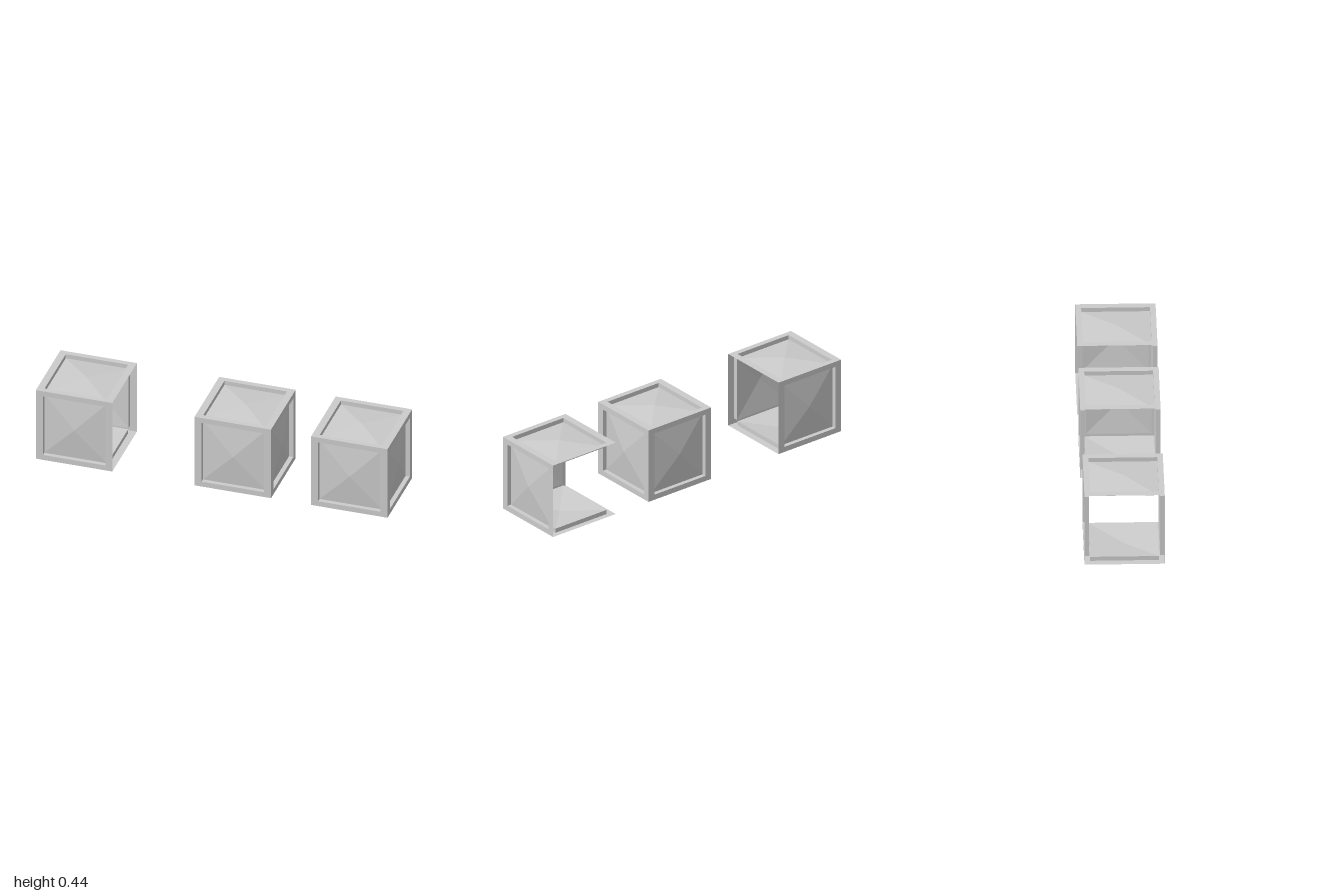
import * as THREE from 'three';

const SIZE = 0.435;
const HALF = SIZE / 2;
const RECESS = 0.025; // panel depth behind its frame
const RISE = 0.022;   // height of the panel's shallow point

// One sheet facing +z: flat frame, recess walls and a shallow pyramid panel,
// built from square rings that step inwards to the middle.
function createFaceGeometry() {
  const px = HALF - 0.04, py = HALF - 0.031;
  const rings = [
    [HALF, HALF, 0],
    [px, py, 0],
    [px, py, -RECESS],
    [0, 0, RISE - RECESS],
  ];
  const corner = ([w, h, z], i) => {
    const [sx, sy] = [[-1, -1], [1, -1], [1, 1], [-1, 1]][i % 4];
    return [sx * w, sy * h, z];
  };
  const points = [];
  for (let r = 0; r < rings.length - 1; r++) {
    const last = r === rings.length - 2;
    for (let i = 0; i < 4; i++) {
      const a = corner(rings[r], i), b = corner(rings[r], i + 1);
      const c = corner(rings[r + 1], i + 1), d = corner(rings[r + 1], i);
      points.push(...a, ...b, ...c);
      if (!last) points.push(...a, ...c, ...d);
    }
  }
  const geometry = new THREE.BufferGeometry();
  geometry.setAttribute('position', new THREE.Float32BufferAttribute(points, 3));
  geometry.computeVertexNormals();
  return geometry;
}

// Turn that points a +z sheet towards each side of the cube
const TURNS = {
  front: [0, 0],
  back: [0, Math.PI],
  left: [0, Math.PI / 2],
  right: [0, -Math.PI / 2],
  top: [-Math.PI / 2, 0],
  bottom: [Math.PI / 2, 0],
};

export function createModel() {
  const group = new THREE.Group();
  group.name = 'corridorBlocks';
  const geometry = createFaceGeometry();
  const material = new THREE.MeshStandardMaterial({
    color: 0xcccccc, flatShading: true, side: THREE.DoubleSide,
  });

  // Three open blocks: a through passage, a dead end and a corner
  const blocks = [
    { name: 'passageBlock', x: -1 + HALF, sides: ['front', 'back', 'top', 'bottom'] },
    { name: 'endBlock', x: 0.12, sides: ['front', 'back', 'left', 'top', 'bottom'] },
    { name: 'cornerBlock', x: 1 - HALF, sides: ['front', 'left', 'top', 'bottom'] },
  ];

  for (const { name, x, sides } of blocks) {
    const block = new THREE.Group();
    block.name = name;
    block.position.set(x, HALF, 0);
    for (const side of sides) {
      const [rx, ry] = TURNS[side];
      const panel = new THREE.Mesh(geometry, material);
      panel.name = side + 'Panel';
      panel.rotation.set(rx, ry, 0);
      panel.translateZ(HALF);
      block.add(panel);
    }
    group.add(block);
  }
  return group;
}
